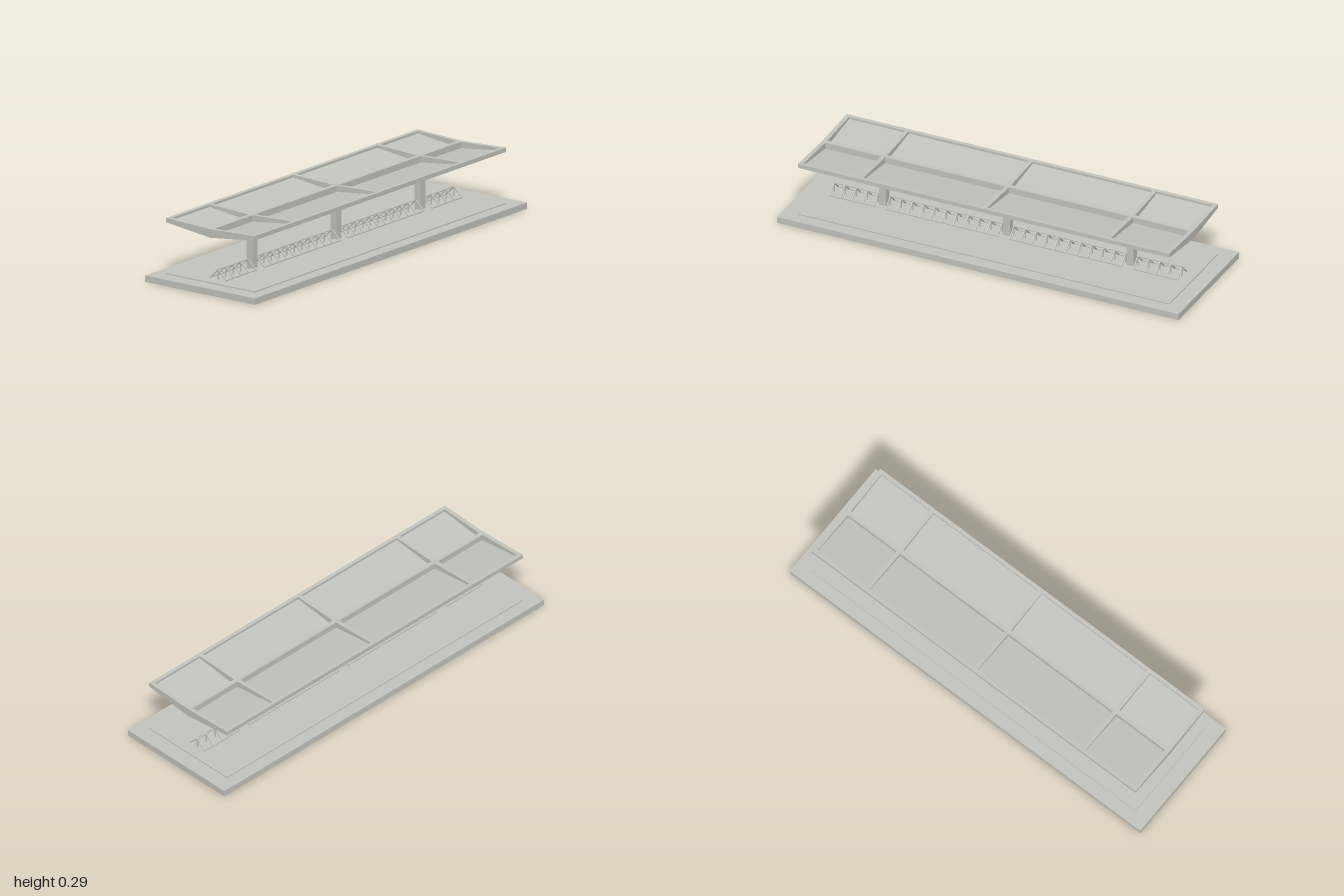
import * as THREE from 'three';

const HALF_X = 0.925, HALF_Z = 0.25, COLUMN_X = 0.617;

// Heights of the butterfly roof at a given z
const under = z => 0.242 + 0.12 * Math.abs(z);
const pan = z => under(z) + 0.01;
const crest = z => 0.282 + 0.04 * Math.abs(z);

export function createModel() {
  const concrete = new THREE.MeshStandardMaterial({ color: 0xc4c5bd });
  concrete.name = 'pale concrete';
  const model = new THREE.Group();
  model.name = 'platformShelter';

  const add = (name, geometry, parent = model) => {
    const mesh = new THREE.Mesh(geometry, concrete);
    mesh.name = name;
    parent.add(mesh);
    return mesh;
  };
  const box = (name, w, h, d, x, y, z, parent) => {
    const mesh = add(name, new THREE.BoxGeometry(w, h, d), parent);
    mesh.position.set(x, y, z);
    return mesh;
  };

  // Stepped base
  box('baseSlab', 2, 0.03, 0.62, 0, 0.015, 0);
  box('basePlinth', HALF_X * 2, 0.005, HALF_Z * 2, 0, 0.0325, 0);

  // Columns
  for (const x of [-COLUMN_X, 0, COLUMN_X]) box('column', 0.035, 0.213, 0.035, x, 0.1415, 0);

  // Roof pieces: a cross-section in z and y, drawn out along x
  const roof = new THREE.Group();
  roof.name = 'roof';
  model.add(roof);
  const roofPiece = (name, zs, low, high, width, x) => {
    const points = [
      ...zs.map(z => new THREE.Vector2(z, low(z))),
      ...[...zs].reverse().map(z => new THREE.Vector2(z, high(z))),
    ];
    const geometry = new THREE.ExtrudeGeometry(new THREE.Shape(points), { depth: width, bevelEnabled: false });
    geometry.translate(0, 0, -width / 2).rotateY(-Math.PI / 2).translate(x, 0, 0);
    add(name, geometry, roof);
  };
  const rim = 0.018;
  roofPiece('roofPan', [-HALF_Z, 0, HALF_Z], under, pan, HALF_X * 2, 0);
  roofPiece('centreBeam', [-0.011, 0, 0.011], pan, crest, HALF_X * 2, 0);
  roofPiece('backRim', [-HALF_Z, -HALF_Z + rim], pan, crest, HALF_X * 2, 0);
  roofPiece('frontRim', [HALF_Z - rim, HALF_Z], pan, crest, HALF_X * 2, 0);
  for (const x of [-HALF_X + 0.01, -COLUMN_X, 0, COLUMN_X, HALF_X - 0.01]) {
    for (const s of [-1, 1]) {
      const ends = s < 0 ? [-HALF_Z + rim, -0.011] : [0.011, HALF_Z - rim];
      roofPiece('crossRib', ends, pan, crest, 0.02, x);
    }
  }

  // A-frame racks between the columns
  const bar = 0.005, ground = 0.035, top = 0.081, foot = 0.045;
  const rack = (start, end, cells) => {
    const group = new THREE.Group();
    group.name = 'rack';
    model.add(group);
    const middle = (start + end) / 2, length = end - start;
    box('topRail', length, bar, bar, middle, top, 0, group);
    for (const s of [-1, 1]) box('footRail', length, bar, bar, middle, ground + bar / 2, s * foot, group);
    for (let i = 0; i <= cells; i++) {
      const x = start + bar / 2 + (length - bar) * i / cells;
      box('post', bar, top - ground, bar, x, (top + ground) / 2, 0, group);
      for (const s of [-1, 1]) {
        const rise = top - ground - bar / 2;
        const leg = box('leg', bar, Math.hypot(foot, rise), bar,
          x, top - rise / 2, s * foot / 2, group);
        leg.rotation.x = -s * Math.atan2(foot, rise);
      }
    }
  };
  rack(-0.869, -0.644, 4);
  rack(-0.589, -0.027, 10);
  rack(0.027, 0.589, 10);
  rack(0.644, 0.869, 4);

  return model;
}
